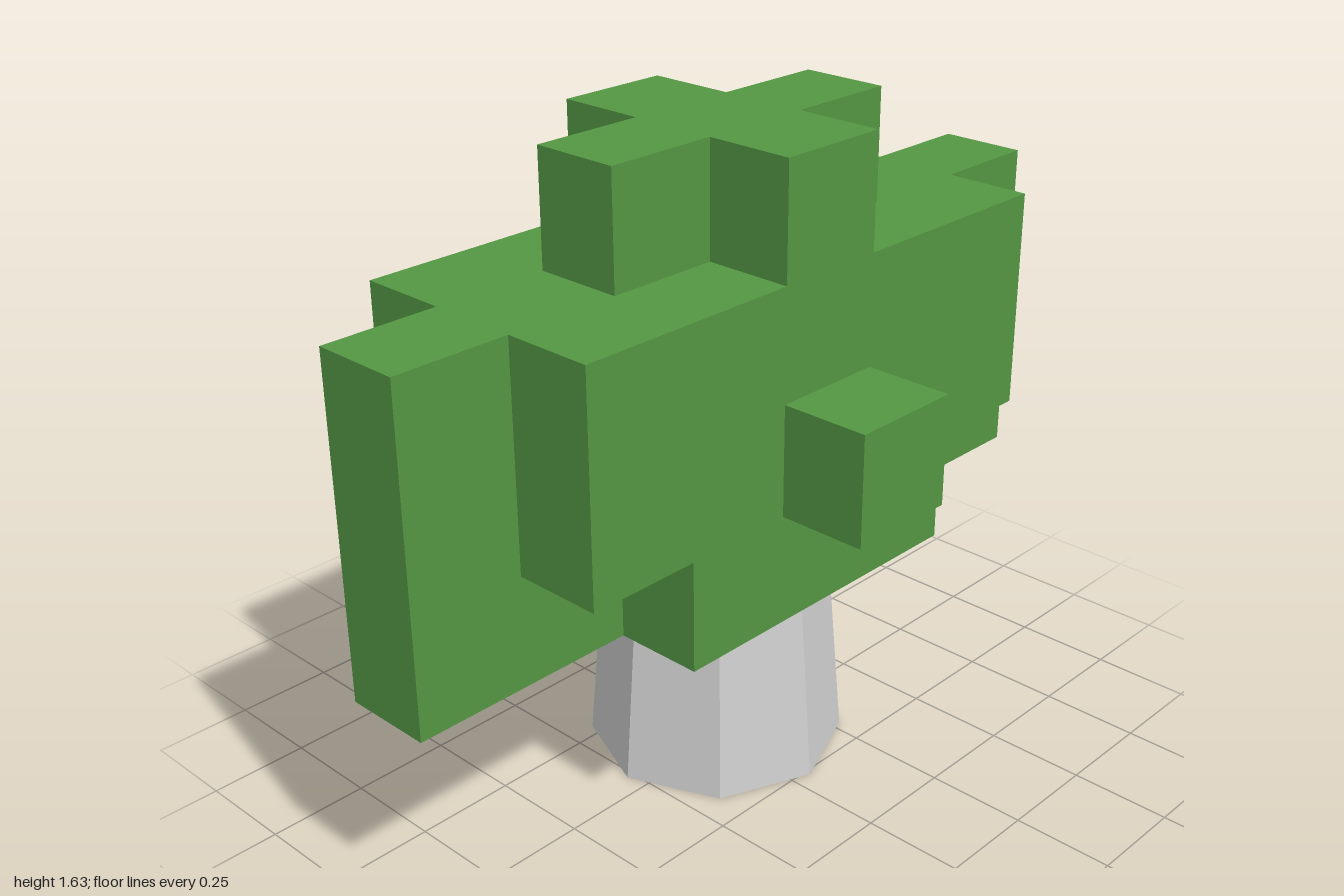
import * as THREE from 'three';

export function createModel() {
  const group = new THREE.Group();
  const leafGreen = new THREE.MeshStandardMaterial({ color: 0x549643 });
  leafGreen.name = 'leafGreen';
  const trunkGrey = new THREE.MeshStandardMaterial({ color: 0xd0d0d0, flatShading: true });
  trunkGrey.name = 'trunkGrey';

  // Outline given by its right half (x, y from bottom to top), mirrored in x
  function outline(half) {
    const left = half.map(([x, y]) => [-x, y]).reverse();
    return new THREE.Shape([...half, ...left].map(([x, y]) => new THREE.Vector2(x, y)));
  }

  // Vertical slab of foliage between two depths
  function slab(name, half, z0, z1) {
    const geometry = new THREE.ExtrudeGeometry(outline(half), { depth: z1 - z0, bevelEnabled: false });
    geometry.translate(0, 0, z0);
    const mesh = new THREE.Mesh(geometry, leafGreen);
    mesh.name = name;
    group.add(mesh);
  }

  // Block grid of the foliage
  const [x1, x2, x3, x4] = [0.143, 0.427, 0.714, 1];
  const [y0, y1, y2, y3, y4] = [0.55, 0.82, 1.09, 1.36, 1.635];
  const [z1, z2, z3] = [0.11, 0.33, 0.55];

  // Widest slab in the middle, with the raised crown
  slab('foliageCore', [[x4, y0], [x4, y3], [x2, y3], [x2, y4]], -z1, z1);

  // Stepped slabs and knobs, mirrored front and back
  const side = [[x2, y0], [x2, y1], [x3, y1], [x3, y3], [x1, y3], [x1, y4]];
  const knob = [[x1, y1], [x1, y2]];
  slab('foliageFront', side, z1, z2);
  slab('foliageBack', side, -z2, -z1);
  slab('knobFront', knob, z2, z3);
  slab('knobBack', knob, -z3, -z2);

  // Tapered eight-sided trunk, slightly off centre
  const trunk = new THREE.Mesh(new THREE.CylinderGeometry(0.275, 0.32, y0, 8), trunkGrey);
  trunk.name = 'trunk';
  trunk.position.set(0.05, y0 / 2, -0.055);
  group.add(trunk);

  return group;
}
